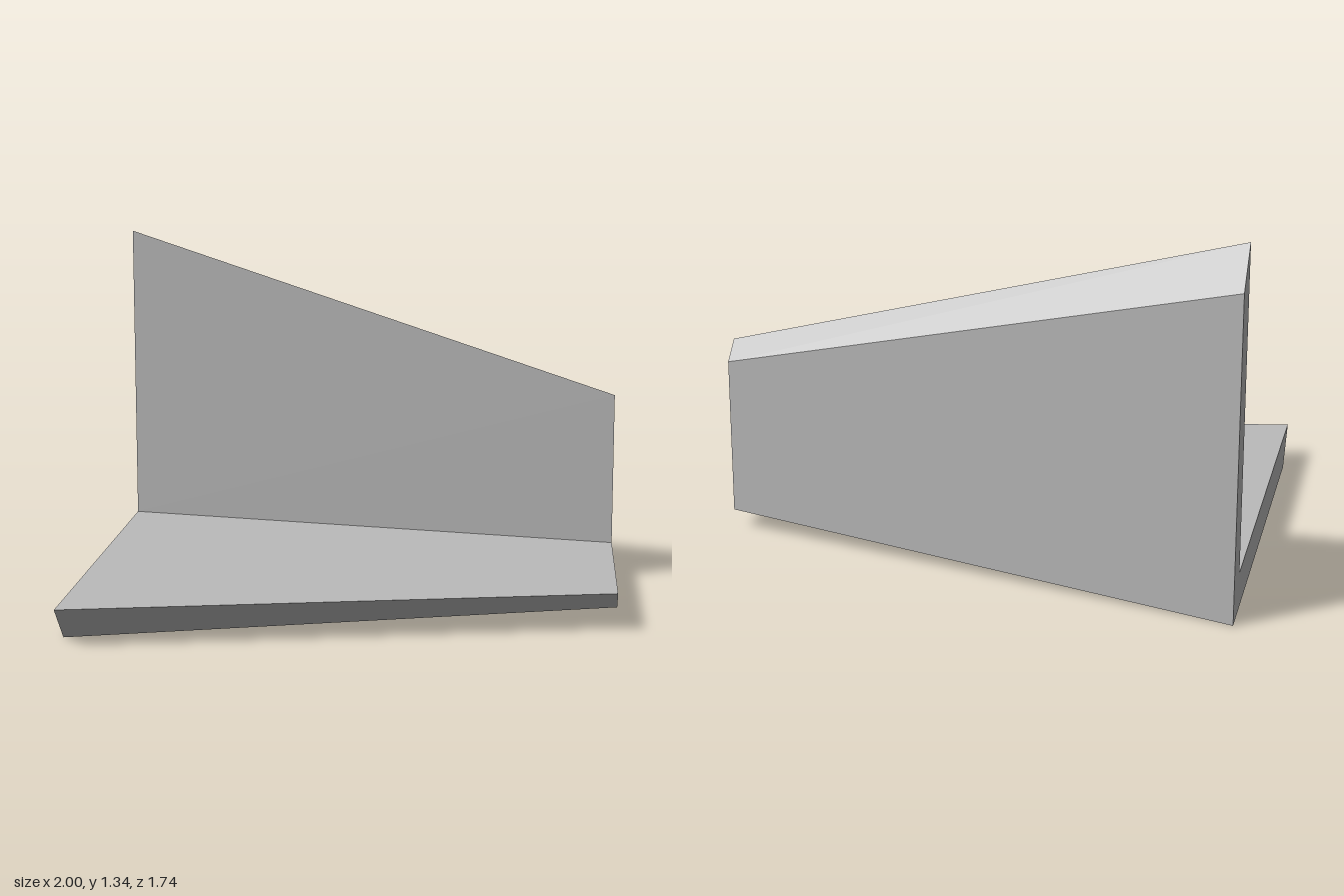
import * as THREE from 'three';

const grey = new THREE.MeshStandardMaterial({ color: 0xbbbbbb });
grey.name = 'plain grey';

// Joins two four-cornered [z, y] sections at x = -1 and x = 1.
// The last edge of each section is the mitre joint and stays open.
function loft(name, wide, narrow) {
  const a = wide.map(([z, y]) => [-1, y, z]);
  const b = narrow.map(([z, y]) => [1, y, z]);
  const positions = [];
  const quad = (p, q, r, s) => positions.push(...p, ...q, ...r, ...p, ...r, ...s);
  for (let i = 0; i < 3; i++) quad(a[i], b[i], b[i + 1], a[i + 1]);
  quad(...a);
  quad(...b.reverse());
  const geometry = new THREE.BufferGeometry();
  geometry.setAttribute('position', new THREE.Float32BufferAttribute(positions, 3));
  geometry.computeVertexNormals();
  const mesh = new THREE.Mesh(geometry, grey);
  mesh.name = name;
  return mesh;
}

export function createModel() {
  const group = new THREE.Group();
  group.name = 'taperedAngleBracket';

  // Floor plate with a slanted front edge
  group.add(loft('basePlate',
    [[-0.87, 0], [0.73, 0], [0.87, 0.14], [-0.73, 0.14]],
    [[-0.4, 0.07], [0.4, 0.07], [0.47, 0.14], [-0.33, 0.14]]));

  // Upright plate with a slanted top edge
  group.add(loft('backPlate',
    [[-0.73, 0.14], [-0.73, 1.34], [-0.87, 1.2], [-0.87, 0]],
    [[-0.33, 0.14], [-0.33, 0.74], [-0.4, 0.67], [-0.4, 0.07]]));

  return group;
}
